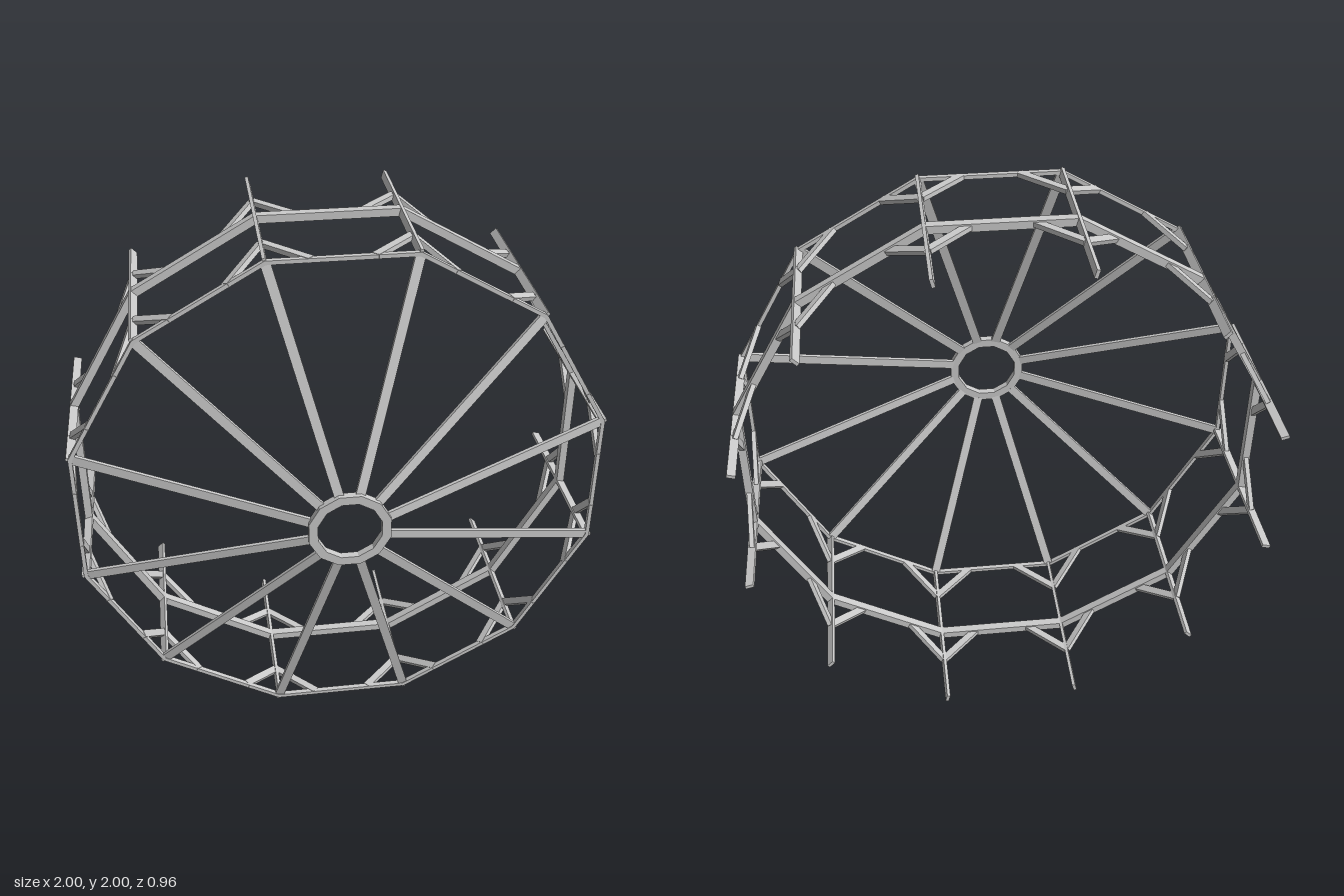
import * as THREE from 'three';

const SIDES = 12;
const R = 1.0175;                 // radius of the long beams
const FRONT_Z = 0.27, REAR_Z = -0.11, BACK_Z = -0.48;
const material = new THREE.MeshStandardMaterial({ color: 0xcccccc, flatShading: true });

// Point at radius r, angle a, depth z around the wheel axis
const polar = (r, a, z) => new THREE.Vector3(r * Math.cos(a), r * Math.sin(a), z);

// Rectangular bar from p to q; "depth" is measured along the up direction
function bar(name, p, q, up, width, depth, extra = 0) {
  const along = q.clone().sub(p);
  const length = along.length() + extra;
  along.normalize();
  const side = new THREE.Vector3().crossVectors(up, along).normalize();
  const lift = new THREE.Vector3().crossVectors(along, side);
  const mesh = new THREE.Mesh(new THREE.BoxGeometry(width, depth, length), material);
  mesh.quaternion.setFromRotationMatrix(new THREE.Matrix4().makeBasis(side, lift, along));
  mesh.position.copy(p).add(q).multiplyScalar(0.5);
  mesh.name = name;
  return mesh;
}

// Twelve-sided hub ring with a round-about opening
function hub() {
  const corners = (r) => Array.from({ length: SIDES }, (_, i) => {
    const a = (i + 0.5) * Math.PI * 2 / SIDES;
    return new THREE.Vector2(r * Math.cos(a), r * Math.sin(a));
  });
  const shape = new THREE.Shape(corners(0.157));
  shape.holes.push(new THREE.Path(corners(0.122)));
  const geometry = new THREE.ExtrudeGeometry(shape, { depth: 0.03, bevelEnabled: false });
  const mesh = new THREE.Mesh(geometry, material);
  mesh.position.z = 0.45;
  mesh.name = 'hub';
  return mesh;
}

export function createModel() {
  const model = new THREE.Group();
  model.name = 'wheelFrame';
  const wheel = new THREE.Group();
  wheel.name = 'wheel';
  wheel.position.y = 1;
  model.add(wheel);
  wheel.add(hub());

  const step = Math.PI * 2 / SIDES;
  const axis = new THREE.Vector3(0, 0, 1);
  for (let i = 0; i < SIDES; i++) {
    const a = (i + 0.5) * step;
    const radial = polar(1, a, 0);

    // Long beam running back from each corner
    wheel.add(bar('longBeam', polar(R, a, BACK_Z), polar(R, a, 0.275), radial, 0.013, 0.032));

    // Flat spoke sloping forward to the hub
    wheel.add(bar('spoke', polar(1.015, a, 0.268), polar(0.147, a, 0.457), axis, 0.036, 0.015));

    // Front and rear rim segments to the next corner
    const outward = polar(1, a + step / 2, 0);
    wheel.add(bar('frontRim', polar(R, a, FRONT_Z), polar(R, a + step, FRONT_Z), outward, 0.02, 0.015, 0.004));
    wheel.add(bar('rearRim', polar(R, a, REAR_Z), polar(R, a + step, REAR_Z), outward, 0.035, 0.03, 0.006));

    // Diagonal braces in both corners of each segment, behind each rim
    for (const z of [FRONT_Z, REAR_Z]) {
      for (const [from, to] of [[a, a + step], [a + step, a]]) {
        const corner = polar(R, from, z);
        const dir = polar(R, to, z).sub(corner).normalize();
        const onRim = corner.clone().addScaledVector(dir, 0.155);
        const onBeam = corner.clone().setZ(z - 0.155);
        wheel.add(bar('brace', onBeam, onRim, outward, 0.03, 0.018));
      }
    }
  }
  return model;
}
